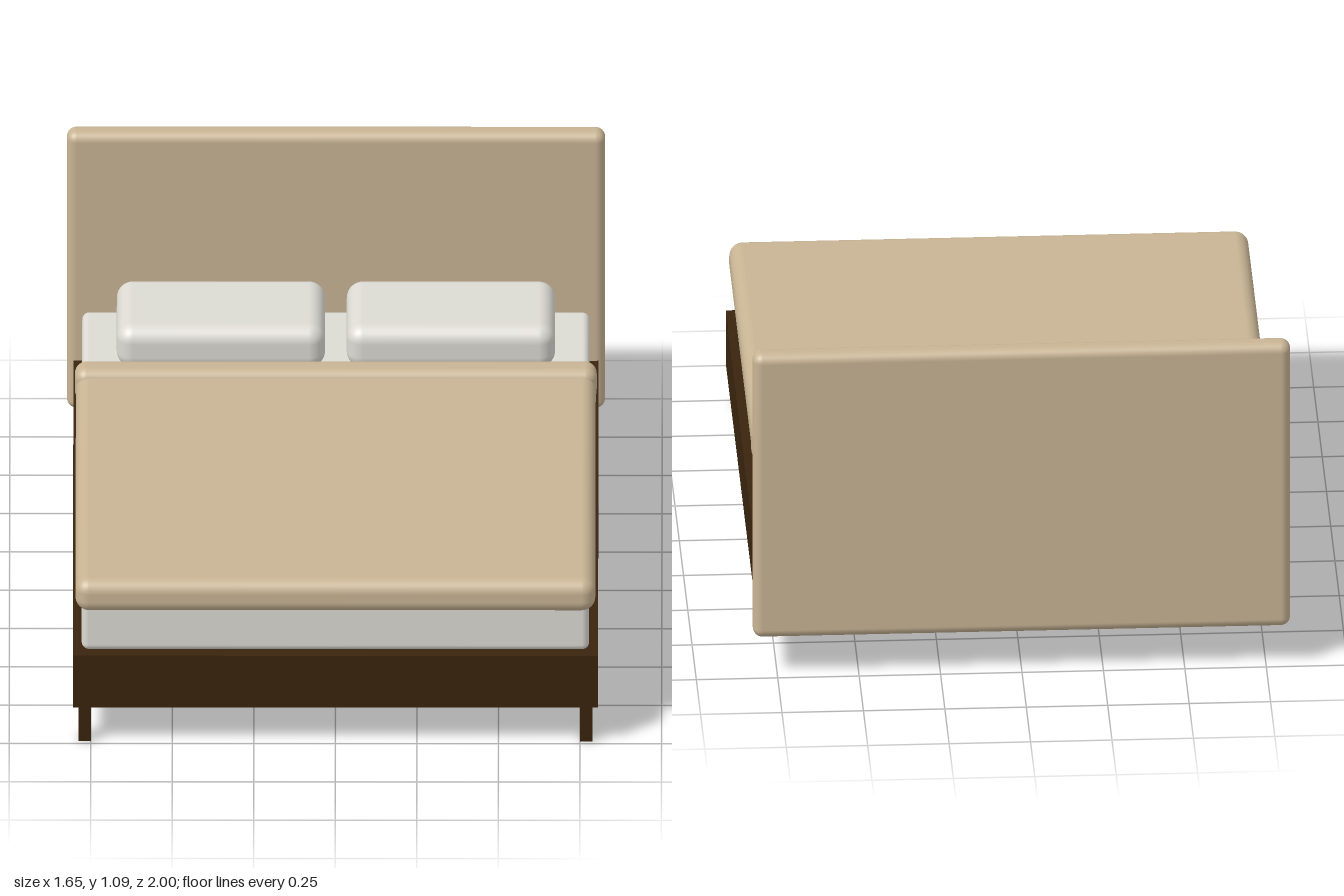
import * as THREE from 'three';
import { RoundedBoxGeometry } from 'three/addons/geometries/RoundedBoxGeometry.js';

const makeMaterial = (name, color) => {
  const m = new THREE.MeshStandardMaterial({ color });
  m.name = name;
  return m;
};

export function createModel() {
  const wood = makeMaterial('darkWood', 0x3a240e);
  const tan = makeMaterial('tanFabric', 0xc8b494);
  const white = makeMaterial('whiteLinen', 0xdcdad3);

  const bed = new THREE.Group();
  bed.name = 'bed';

  // Box between two corners; a radius gives soft rounded edges
  const block = (name, material, [x0, y0, z0], [x1, y1, z1], radius = 0) => {
    const size = [x1 - x0, y1 - y0, z1 - z0];
    const geometry = radius
      ? new RoundedBoxGeometry(...size, 5, radius)
      : new THREE.BoxGeometry(...size);
    const mesh = new THREE.Mesh(geometry, material);
    mesh.name = name;
    mesh.position.set((x0 + x1) / 2, (y0 + y1) / 2, (z0 + z1) / 2);
    bed.add(mesh);
    return mesh;
  };

  // Base and headboard
  block('frame', wood, [-0.805, 0.125, -0.93], [0.805, 0.305, 1]);
  block('headboard', tan, [-0.825, 0.13, -1], [0.825, 1.09, -0.925], 0.03);

  // Bedding
  block('mattress', white, [-0.778, 0.305, -0.918], [0.778, 0.485, 0.972], 0.022);
  block('duvet', tan, [-0.797, 0.443, -0.4], [0.797, 0.553, 0.993], 0.042);
  block('duvetFold', tan, [-0.8, 0.458, -0.44], [0.8, 0.575, -0.34], 0.036);

  // Mirrored pairs: front legs and pillows
  for (const [side, s] of [['left', 1], ['right', -1]]) {
    const leg = block(side + 'FrontLeg', wood, [0.75, 0, 0.945], [0.788, 0.13, 0.985]);
    const pillow = block(side + 'Pillow', white, [0.033, 0.49, -0.858], [0.672, 0.636, -0.5], 0.05);
    leg.position.x *= s;
    pillow.position.x *= s;
  }

  return bed;
}
